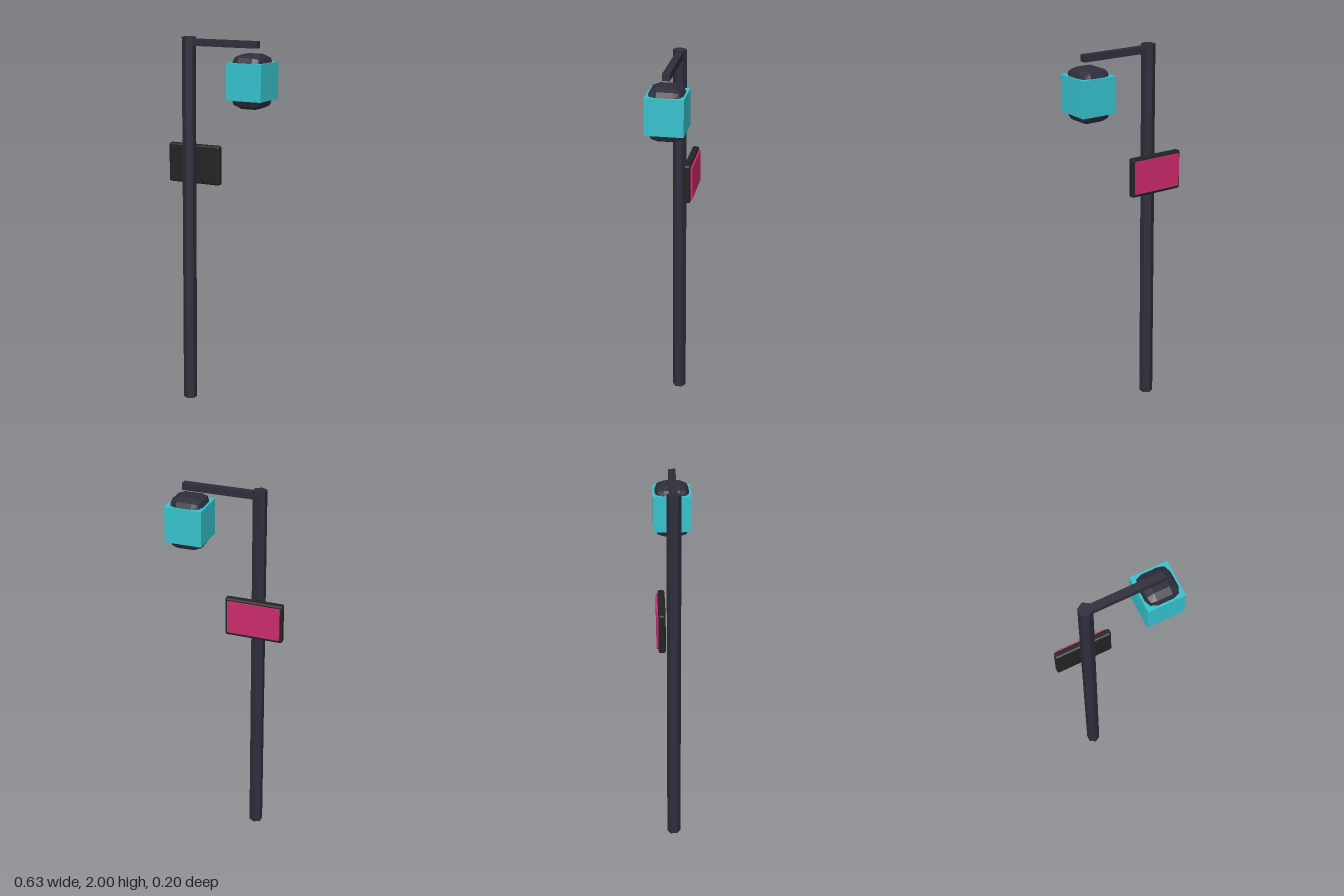
import * as THREE from 'three';
import { RoundedBoxGeometry } from 'three/addons/geometries/RoundedBoxGeometry.js';

const material = (name, color) => {
  const m = new THREE.MeshStandardMaterial({ color });
  m.name = name;
  return m;
};

// Low-poly box with chamfered, faceted edges
function facetedBox(w, h, d, radius) {
  const g = new RoundedBoxGeometry(w, h, d, 1, radius);
  g.computeVertexNormals();
  return g;
}

// Hexagonal post with flat sides
function hexPost(radius, height) {
  const g = new THREE.CylinderGeometry(radius, radius, height, 6).toNonIndexed();
  g.computeVertexNormals();
  return g;
}

export function createModel() {
  const model = new THREE.Group();
  model.name = 'streetLamp';

  const metal = material('dark metal', 0x2e2d3b);
  const glow = material('cyan glow', 0x36c2cd);
  const frame = material('black frame', 0x232323);
  const panel = material('magenta panel', 0xcb2a6d);

  const add = (name, geometry, mat, x, y, z) => {
    const mesh = new THREE.Mesh(geometry, mat);
    mesh.name = name;
    mesh.position.set(x, y, z);
    model.add(mesh);
  };

  // Post and the arm reaching out from its top
  add('pole', hexPost(0.037, 2), metal, -0.16, 1, 0);
  add('arm', new THREE.BoxGeometry(0.406, 0.036, 0.038), metal, 0.044, 1.972, -0.001);

  // Lantern: faceted body wrapped by a glowing cube
  add('lanternBody', facetedBox(0.185, 0.28, 0.185, 0.052), metal, 0.215, 1.785, -0.001);
  add('lanternGlow', new THREE.BoxGeometry(0.199, 0.192, 0.199), glow, 0.215, 1.787, -0.001);

  // Sign behind the post with its lit panel facing back
  add('signFrame', facetedBox(0.311, 0.214, 0.037, 0.01), frame, -0.16, 1.315, -0.064);
  add('signPanel', new THREE.BoxGeometry(0.282, 0.178, 0.0095), panel, -0.161, 1.317, -0.0868);

  return model;
}
